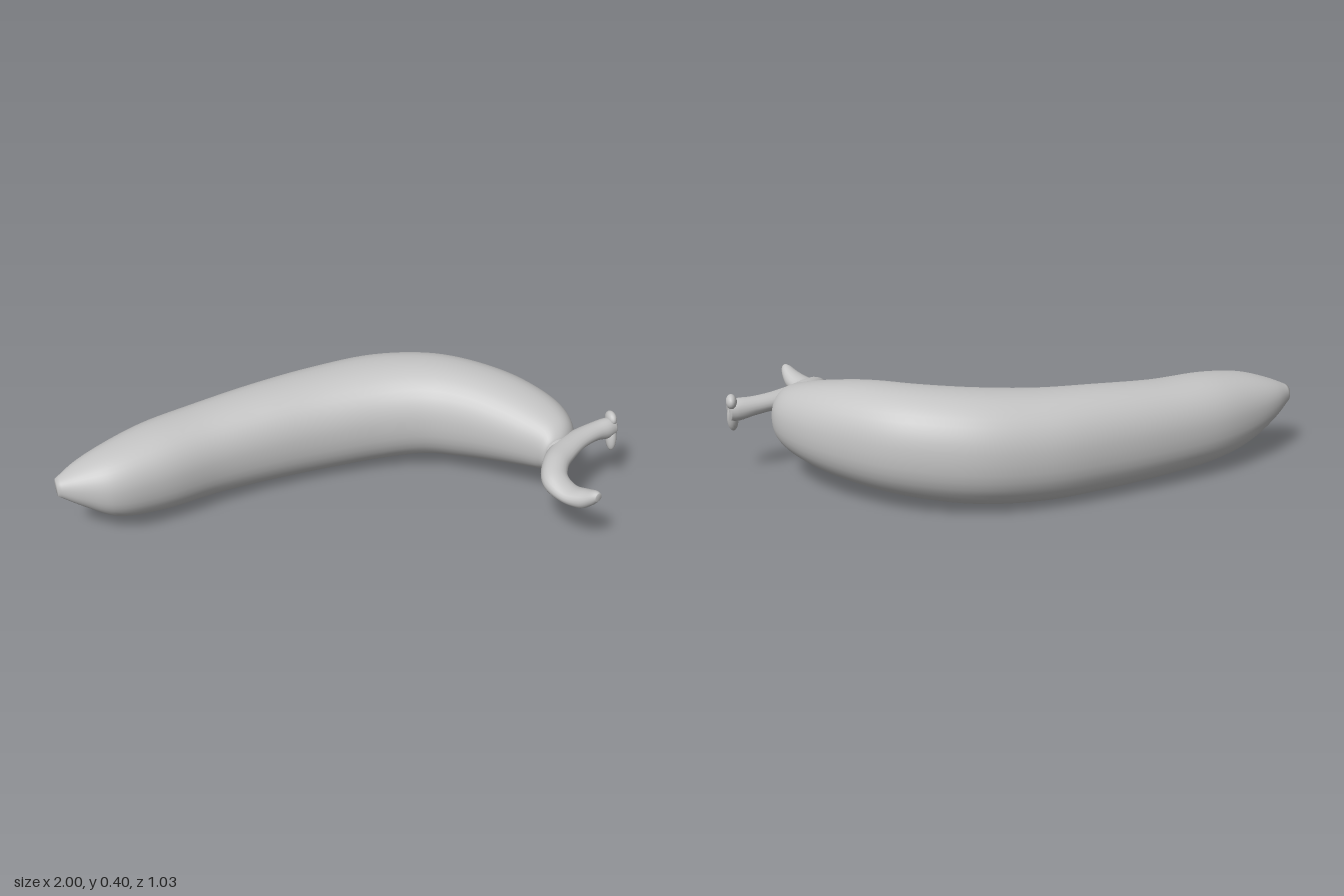
import * as THREE from 'three';

const skin = new THREE.MeshStandardMaterial({ color: 0xc4c4c4 });
skin.name = 'pale grey';

// Closed loft. Each station: [outerX, outerZ, innerX, innerZ, top, bottom].
// "power" below 1 squares the oval cross-section a little.
function loft(name, stations, rings, sides, power) {
  const outer = new THREE.CatmullRomCurve3(stations.map(s => new THREE.Vector3(s[0], s[4], s[1])));
  const inner = new THREE.CatmullRomCurve3(stations.map(s => new THREE.Vector3(s[2], s[5], s[3])));
  const soften = v => Math.sign(v) * Math.pow(Math.abs(v), power);
  const positions = [];
  const index = [];
  const middles = [];
  for (let i = 0; i <= rings; i++) {
    const o = outer.getPoint(i / rings);
    const n = inner.getPoint(i / rings);
    const mid = o.clone().add(n).multiplyScalar(0.5);
    middles.push(mid);
    for (let j = 0; j < sides; j++) {
      const angle = (j / sides) * Math.PI * 2;
      const c = soften(Math.cos(angle));
      const s = soften(Math.sin(angle));
      positions.push(
        mid.x + (n.x - o.x) / 2 * c,
        mid.y + (o.y - n.y) / 2 * s,
        mid.z + (n.z - o.z) / 2 * c
      );
    }
  }
  const at = (i, j) => i * sides + (j % sides);
  for (let i = 0; i < rings; i++) {
    for (let j = 0; j < sides; j++) {
      index.push(at(i, j), at(i + 1, j), at(i, j + 1));
      index.push(at(i + 1, j), at(i + 1, j + 1), at(i, j + 1));
    }
  }
  // End caps
  const start = positions.length / 3;
  positions.push(...middles[0].toArray(), ...middles[rings].toArray());
  for (let j = 0; j < sides; j++) {
    index.push(start, at(0, j), at(0, j + 1));
    index.push(start + 1, at(rings, j + 1), at(rings, j));
  }
  const geometry = new THREE.BufferGeometry();
  geometry.setAttribute('position', new THREE.Float32BufferAttribute(positions, 3));
  geometry.setIndex(index);
  geometry.computeVertexNormals();
  const mesh = new THREE.Mesh(geometry, skin);
  mesh.name = name;
  return mesh;
}

// Turns a centre line [x, z, y, halfWidth, halfHeight] into loft stations.
function stationsAlong(path) {
  return path.map(([x, z, y, w, h], i) => {
    const a = path[Math.max(i - 1, 0)];
    const b = path[Math.min(i + 1, path.length - 1)];
    const length = Math.hypot(b[0] - a[0], b[1] - a[1]);
    const sx = -(b[1] - a[1]) / length * w;
    const sz = (b[0] - a[0]) / length * w;
    return [x - sx, z - sz, x + sx, z + sz, y + h, y - h];
  });
}

export function createModel() {
  const model = new THREE.Group();
  model.name = 'curvedFruit';

  // Fruit body, from the blossom tip round the bend to the stalk end
  model.add(loft('fruitBody', [
    [-1.0, -0.125, -0.995, -0.065, 0.24, 0.18],
    [-0.93, -0.19, -0.91, -0.03, 0.275, 0.125],
    [-0.82, -0.26, -0.8, -0.003, 0.31, 0.06],
    [-0.68, -0.33, -0.63, -0.03, 0.335, 0.025],
    [-0.5, -0.39, -0.41, -0.095, 0.345, 0.013],
    [-0.25, -0.455, -0.2, -0.13, 0.362, 0.004],
    [0.0, -0.503, 0.0, -0.145, 0.375, 0.0],
    [0.25, -0.506, 0.2, -0.135, 0.393, 0.012],
    [0.49, -0.425, 0.34, -0.1, 0.402, 0.035],
    [0.665, -0.285, 0.44, -0.04, 0.397, 0.052],
    [0.785, -0.14, 0.52, 0.022, 0.377, 0.073],
    [0.847, 0.0, 0.61, 0.1, 0.345, 0.1],
    [0.84, 0.1, 0.67, 0.155, 0.315, 0.125],
    [0.797, 0.16, 0.69, 0.18, 0.283, 0.15],
    [0.76, 0.178, 0.71, 0.186, 0.26, 0.19]
  ], 84, 40, 0.9));

  // Woody stalk: two arms meeting at the neck
  const stalk = new THREE.Group();
  stalk.name = 'stalk';
  stalk.add(loft('stalkArms', stationsAlong([
    [0.99, 0.1, 0.245, 0.028, 0.036],
    [0.96, 0.107, 0.245, 0.034, 0.04],
    [0.91, 0.12, 0.248, 0.036, 0.034],
    [0.83, 0.155, 0.25, 0.042, 0.031],
    [0.75, 0.212, 0.248, 0.048, 0.033],
    [0.695, 0.275, 0.242, 0.046, 0.037],
    [0.67, 0.345, 0.226, 0.048, 0.037],
    [0.695, 0.405, 0.21, 0.046, 0.03],
    [0.73, 0.455, 0.217, 0.038, 0.036],
    [0.75, 0.49, 0.24, 0.024, 0.028],
    [0.757, 0.507, 0.252, 0.014, 0.016]
  ]), 60, 20, 1));
  stalk.add(loft('stalkNeck', stationsAlong([
    [0.745, 0.13, 0.225, 0.065, 0.065],
    [0.745, 0.17, 0.232, 0.05, 0.045],
    [0.748, 0.2, 0.242, 0.044, 0.034],
    [0.75, 0.225, 0.248, 0.038, 0.028]
  ]), 12, 18, 1));

  // Torn lobes above and below the cut end: [x, y, z, radii, tilt]
  const lobes = [
    [0.98, 0.278, 0.096, 0.019, 0.026, 0.032, 0],
    [0.978, 0.212, 0.117, 0.02, 0.052, 0.022, -0.25]
  ];
  for (const [x, y, z, rx, ry, rz, tilt] of lobes) {
    const lobe = new THREE.Mesh(new THREE.SphereGeometry(1, 18, 12), skin);
    lobe.name = 'stalkEndLobe';
    lobe.position.set(x, y, z);
    lobe.scale.set(rx, ry, rz);
    lobe.rotation.x = tilt;
    stalk.add(lobe);
  }
  model.add(stalk);

  return model;
}
